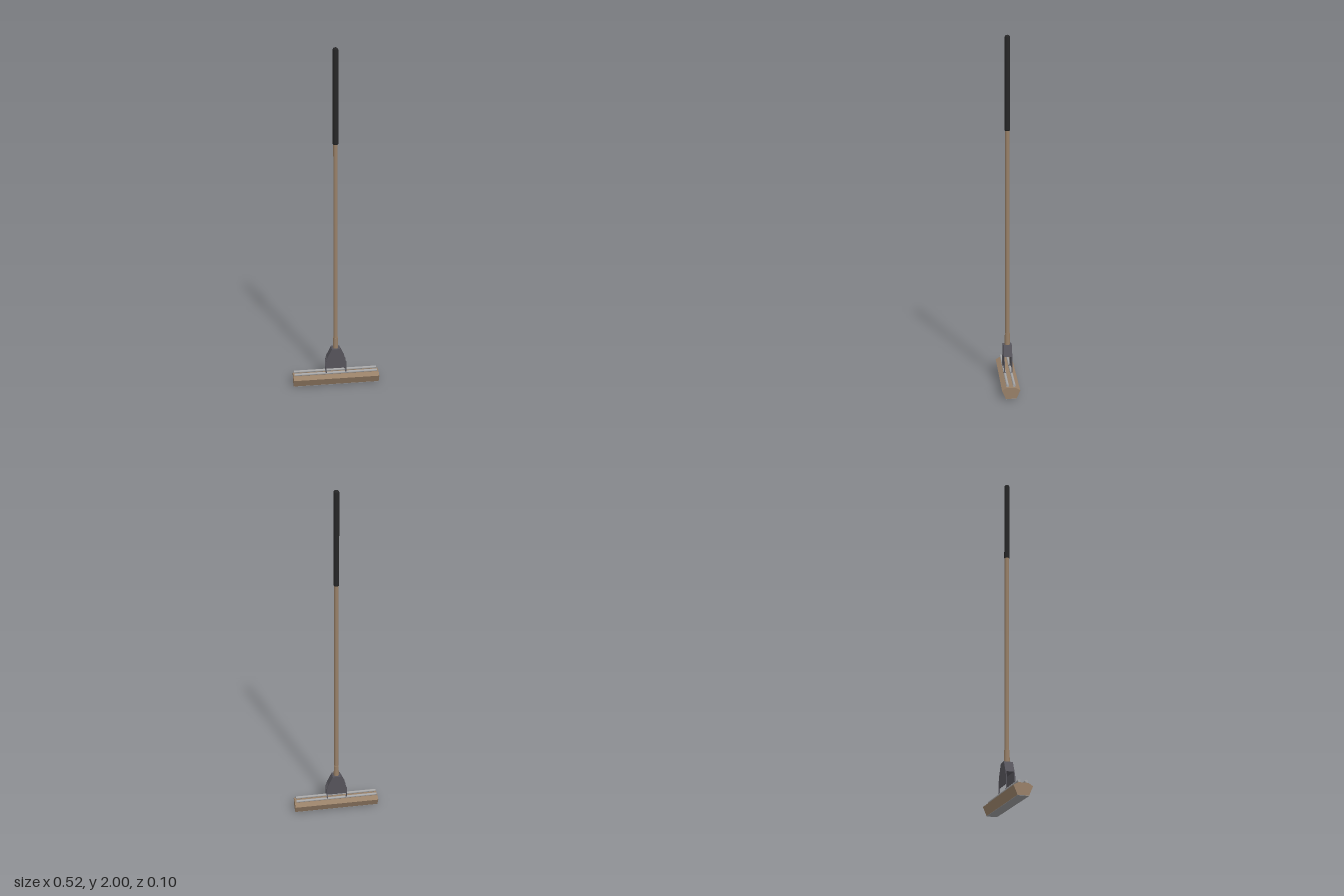
import * as THREE from 'three';

const paint = (name, color) => {
  const m = new THREE.MeshStandardMaterial({ color });
  m.name = name;
  return m;
};

// Extrude an outline given in x, y, centred along z
function slab(points, depth) {
  const shape = new THREE.Shape(points.map(([x, y]) => new THREE.Vector2(x, y)));
  return new THREE.ExtrudeGeometry(shape, { depth, bevelEnabled: false }).translate(0, 0, -depth / 2);
}

export function createModel() {
  const brown = paint('brown', 0x988068);
  const darkGrey = paint('dark grey', 0x56545b);
  const black = paint('black', 0x262627);
  const steel = paint('steel', 0xa6a6a7);
  const padGrey = paint('pad grey', 0x98989a);

  const model = new THREE.Group();
  model.name = 'mop';
  const add = (name, geometry, material, x = 0, y = 0, z = 0, parent = model) => {
    const mesh = new THREE.Mesh(geometry, material);
    mesh.name = name;
    mesh.position.set(x, y, z);
    parent.add(mesh);
    return mesh;
  };

  // Sponge head: one cross-section run along x
  const half = [[0.03, 0.002], [0.051, 0.05], [0.026, 0.065]];
  const section = [...half, ...half.map(([z, y]) => [-z, y]).reverse()];
  add('spongeHead', slab(section, 0.518).rotateY(Math.PI / 2), brown);
  add('spongeSole', new THREE.BoxGeometry(0.518, 0.002, 0.06), padGrey, 0, 0.001, 0);

  // Everything above the sponge sits slightly off centre
  const upper = new THREE.Group();
  upper.name = 'upperAssembly';
  upper.position.x = -0.002;
  model.add(upper);

  // Steel rods and the plates of the clamp, front and back
  const plate = [
    [-0.06, 0.106], [0.06, 0.106], [0.06, 0.148], [0.054, 0.172],
    [0.025, 0.232], [-0.025, 0.232], [-0.054, 0.172], [-0.06, 0.148],
  ];
  for (const s of [1, -1]) {
    const rod = new THREE.CylinderGeometry(0.0075, 0.0075, 0.502, 20).rotateZ(Math.PI / 2);
    add('rod', rod, steel, 0, 0.074, s * 0.019, upper);
    add('clampPlate', slab(plate, 0.005), darkGrey, 0, 0, s * 0.0225, upper);
    for (const e of [1, -1]) {
      add('clampLeg', new THREE.BoxGeometry(0.003, 0.073, 0.006), darkGrey, e * 0.061, 0.1115, s * 0.0225, upper);
      add('legFoot', new THREE.BoxGeometry(0.007, 0.005, 0.012), darkGrey, e * 0.059, 0.08, s * 0.0195, upper);
    }
  }

  // Solid shoulder joining the two plates
  const shoulder = [[-0.054, 0.172], [0.054, 0.172], [0.025, 0.232], [-0.025, 0.232]];
  add('clampShoulder', slab(shoulder, 0.041), darkGrey, 0, 0, 0, upper);

  // Handle: collar, pole and rounded grip
  add('collar', new THREE.CylinderGeometry(0.0148, 0.0158, 0.068, 24), brown, 0, 0.266, 0, upper);
  add('pole', new THREE.CylinderGeometry(0.0125, 0.0125, 1.25, 24), brown, 0, 0.915, 0, upper);
  const profile = [[0, 1.475], [0.0135, 1.475], [0.0155, 1.48]];
  for (let i = 0; i <= 8; i++) {
    const a = (i / 8) * Math.PI / 2;
    profile.push([0.0155 * Math.cos(a), 1.9845 + 0.0155 * Math.sin(a)]);
  }
  add('grip', new THREE.LatheGeometry(profile.map(([r, y]) => new THREE.Vector2(Math.max(r, 0), y)), 28), black, 0, 0, 0, upper);

  return model;
}
